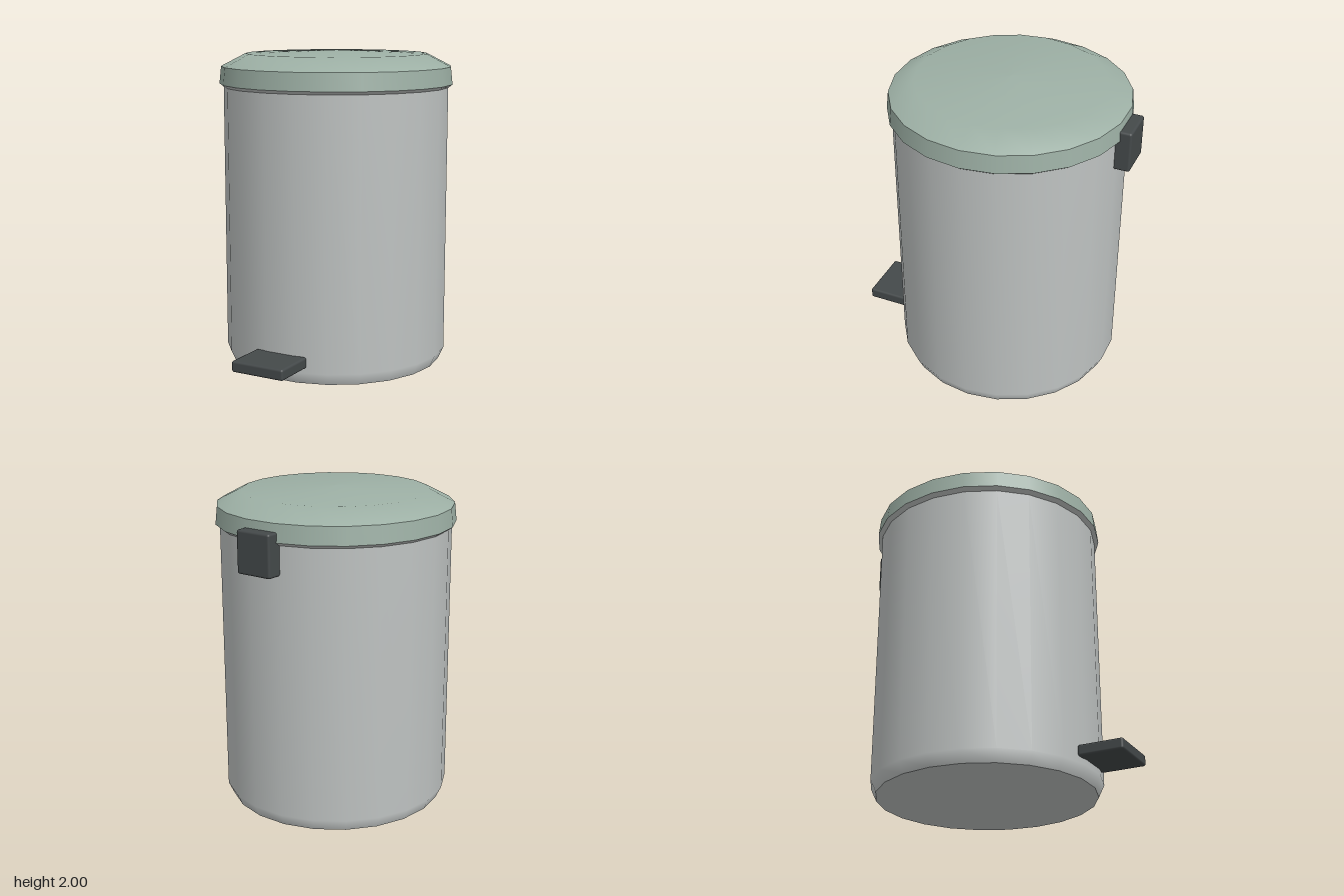
import * as THREE from 'three';
import { RoundedBoxGeometry } from 'three/addons/geometries/RoundedBoxGeometry.js';

const SIDES = 22;

function material(name, color) {
  const m = new THREE.MeshStandardMaterial({ color });
  m.name = name;
  return m;
}

// Smooth surface of revolution; a corner stays sharp where two pieces meet
function turned(name, profile, mat) {
  const points = profile.map(([r, y]) => new THREE.Vector2(r, y));
  const mesh = new THREE.Mesh(new THREE.LatheGeometry(points, SIDES, Math.PI / 2), mat);
  mesh.name = name;
  return mesh;
}

// Softened block given by its lower and upper corners
function block(name, min, max, mat) {
  const size = max.map((v, i) => v - min[i]);
  const mesh = new THREE.Mesh(new RoundedBoxGeometry(...size, 2, 0.014), mat);
  mesh.position.set(...max.map((v, i) => (v + min[i]) / 2));
  mesh.name = name;
  return mesh;
}

export function createModel() {
  const steel = material('brushed steel grey', 0xbfc3c2);
  const sage = material('sage green', 0x9db0a5);
  const plastic = material('dark plastic', 0x44494a);

  const model = new THREE.Group();
  model.name = 'pedalBin';

  // Bucket: base, wall with a tapered foot, flared rim
  const bucket = new THREE.Group();
  bucket.name = 'bucket';
  bucket.add(
    turned('base', [[0, 0], [0.685, 0]], steel),
    turned('wall', [[0.685, 0], [0.72, 0.075], [0.72, 1.77]], steel),
    turned('rim', [[0.72, 1.77], [0.747, 1.79]], steel),
  );

  // Lid: slanted skirt and shallow dome
  const lid = new THREE.Group();
  lid.name = 'lid';
  lid.add(
    turned('skirt', [[0.747, 1.79], [0.735, 1.9]], sage),
    turned('dome', [[0.735, 1.9], [0.58, 1.98], [0, 2]], sage),
  );

  // The round parts sit slightly back to make room for the pedal
  bucket.position.z = lid.position.z = -0.0875;

  model.add(
    bucket,
    lid,
    block('pedal', [-0.18, 0.11, 0.605], [0.18, 0.18, 0.89], plastic),
    block('hinge', [-0.12, 1.59, -0.89], [0.12, 1.85, -0.77], plastic),
  );
  return model;
}
